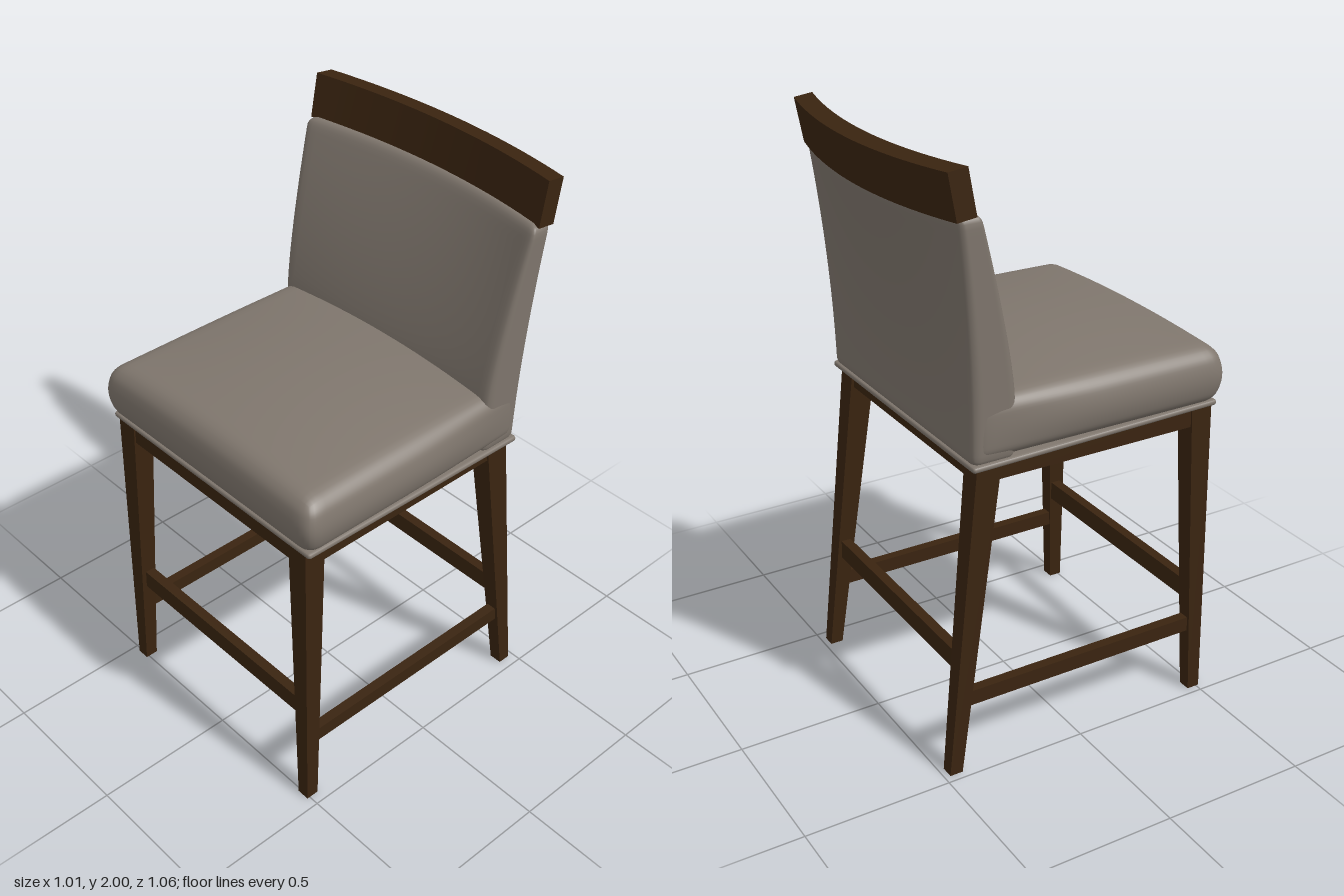
import * as THREE from 'three';
import { mergeVertices } from 'three/addons/utils/BufferGeometryUtils.js';

const wood = new THREE.MeshStandardMaterial({ color: 0x3a2410 });
wood.name = 'dark wood';
const fabric = new THREE.MeshStandardMaterial({ color: 0x7f766d });
fabric.name = 'taupe fabric';

// Move every vertex of a geometry by a rule
function bend(geo, rule) {
  const pos = geo.attributes.position;
  const p = new THREE.Vector3();
  for (let i = 0; i < pos.count; i++) {
    p.fromBufferAttribute(pos, i);
    rule(p);
    pos.setXYZ(i, p.x, p.y, p.z);
  }
  geo.computeVertexNormals();
  return geo;
}

// Smooth rounded box, with vertices gathered near the edges, then bent by a rule
function softBox(w, h, d, r, segs, rule) {
  let geo = new THREE.BoxGeometry(2, 2, 2, segs, segs, segs);
  geo.deleteAttribute('uv');
  geo.deleteAttribute('normal');
  geo = mergeVertices(geo);
  const half = new THREE.Vector3(w / 2, h / 2, d / 2);
  const inner = half.clone().subScalar(r);
  const low = inner.clone().negate();
  const c = new THREE.Vector3();
  return bend(geo, (p) => {
    p.set(Math.sin(p.x * Math.PI / 2), Math.sin(p.y * Math.PI / 2), Math.sin(p.z * Math.PI / 2)).multiply(half);
    c.copy(p).clamp(low, inner);
    p.sub(c).normalize().multiplyScalar(r).add(c);
    rule(p);
  });
}

// Tapered post between two rectangles [x0, x1, z0, z1]
function post(y0, y1, bottom, top) {
  const lerp = THREE.MathUtils.lerp;
  return bend(new THREE.BoxGeometry(1, 1, 1), (p) => {
    const t = p.y + 0.5;
    const [x0, x1, z0, z1] = bottom.map((v, i) => lerp(v, top[i], t));
    p.set(lerp(x0, x1, p.x + 0.5), lerp(y0, y1, t), lerp(z0, z1, p.z + 0.5));
  });
}

export function createModel() {
  const group = new THREE.Group();
  const add = (name, geo, mat, x = 0, y = 0, z = 0) => {
    const mesh = new THREE.Mesh(geo, mat);
    mesh.name = name;
    mesh.position.set(x, y, z);
    group.add(mesh);
  };
  const bar = (name, w, h, d, x, y, z) => add(name, new THREE.BoxGeometry(w, h, d), wood, x, y, z);

  // Legs, side aprons and side stretchers
  const mirror = (r, s) => (s > 0 ? r : [-r[1], -r[0], r[2], r[3]]);
  const cx = -0.005;
  for (const s of [1, -1]) {
    const side = s > 0 ? 'left' : 'right';
    add(side + 'FrontLeg', post(0, 1.075,
      mirror([0.423, 0.468, 0.465, 0.51], s), mirror([0.383, 0.46, 0.423, 0.5], s)), wood, cx);
    add(side + 'BackLeg', post(0, 1.07,
      mirror([0.423, 0.468, -0.48, -0.435], s), mirror([0.383, 0.46, -0.368, -0.283], s)), wood, cx);
    bar(side + 'Apron', 0.055, 0.065, 0.76, cx + s * 0.427, 1.043, 0.06);
    bar(side + 'Stretcher', 0.035, 0.052, 0.87, cx + s * 0.438, 0.26, 0.035);
  }

  // Front and back aprons and stretchers
  bar('frontApron', 0.8, 0.065, 0.055, cx, 1.043, 0.467);
  bar('backApron', 0.8, 0.065, 0.055, cx, 1.043, -0.335);
  bar('frontStretcher', 0.84, 0.068, 0.035, cx, 0.386, 0.472);
  bar('backStretcher', 0.84, 0.068, 0.035, cx, 0.386, -0.409);

  // Welt around the bottom of the seat, sloping down to the back
  add('seatWelt', softBox(0.965, 0.022, 0.9, 0.011, 16, (p) => {
    p.z += 0.06;
    p.y += 1.078 + (p.z - 0.06) * 0.02;
  }), fabric);

  // Seat cushion: crowned top, bulging front and sides
  add('seatCushion', softBox(0.955, 0.2, 0.89, 0.045, 28, (p) => {
    const v = THREE.MathUtils.clamp(p.y / 0.2 + 0.5, 0, 1);
    p.z += 0.06;
    const bulge = Math.sin(Math.PI * v);
    const fx = Math.max(0, 1 - (p.x / 0.48) ** 2);
    const fz = Math.max(0, 1 - ((p.z - 0.1) / 0.45) ** 2);
    p.x *= 1 + 0.058 * bulge * THREE.MathUtils.smoothstep(p.z, -0.5, 0.1);
    if (p.z > 0) p.z += 0.024 * bulge * p.z / 0.505;
    p.y += 1.182 + v * 0.042 * (0.75 * fx * fz + 0.25 * fx);
  }), fabric);

  // Backrest: wedge that leans back, with a hollow growing towards the top
  add('backrest', softBox(0.97, 0.79, 0.15, 0.03, 28, (p) => {
    const v = THREE.MathUtils.clamp(p.y / 0.79 + 0.5, 0, 1);
    const t = p.z / 0.15 + 0.5;
    const across = 1 - (p.x / 0.485) ** 2;
    const front = -0.235 - 0.125 * Math.max(0, (v - 0.25) / 0.75) ** 1.3;
    const back = -0.388 - 0.05 * v * v;
    p.z = THREE.MathUtils.lerp(back, front, t) - 0.066 * v ** 1.7 * across;
    p.x *= 0.98 + 0.055 * v;
    p.y += 1.465 - 0.008 * v * across;
  }), fabric);

  // Curved top rail
  add('topRail', bend(new THREE.BoxGeometry(1, 0.15, 0.064, 20, 1, 1), (p) => {
    const across = 1 - (p.x / 0.5) ** 2;
    p.z += -0.427 - 0.06 * across - p.y * 0.18;
    p.y += 1.925 + (p.z + 0.41) * 0.13;
  }), wood);

  return group;
}
